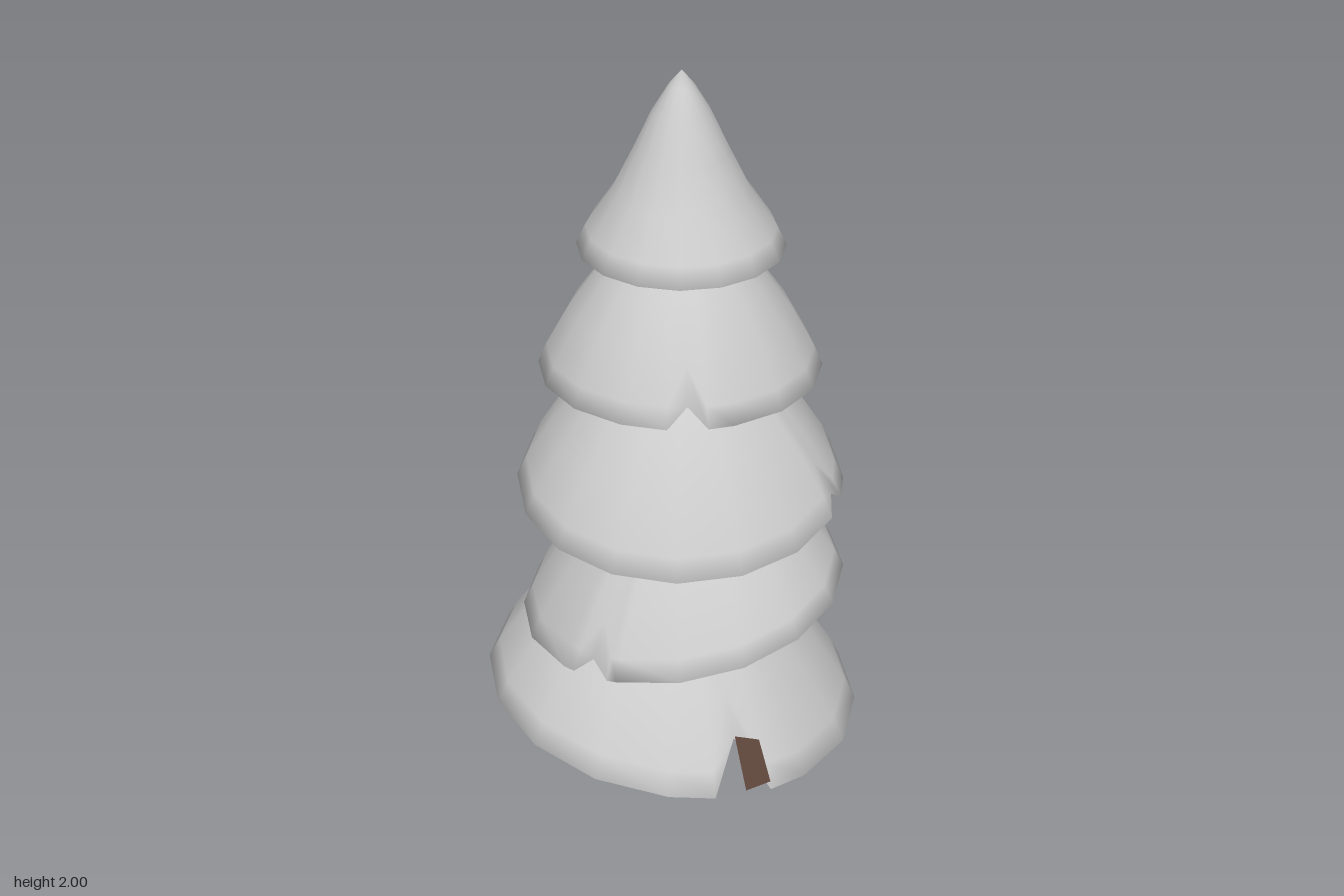
import * as THREE from 'three';
import { mergeVertices } from 'three/addons/utils/BufferGeometryUtils.js';

const SIDES = 16;
const snow = new THREE.MeshStandardMaterial({ color: 0xcccccc });
const bark = new THREE.MeshStandardMaterial({ color: 0x5f473b });
const deg = Math.PI / 180;

// Skirt profiles from apex to rim: [radius fraction, height fraction]
const dome = [[0, 1], [0.2, 0.96], [0.38, 0.86], [0.58, 0.66], [0.78, 0.4], [0.94, 0.13], [1, 0]];
const cone = [[0, 1], [0.12, 0.92], [0.28, 0.77], [0.46, 0.55], [0.66, 0.32], [0.91, 0.11], [1, 0]];

// notches: [azimuth, half width, depth]; lining: azimuth range of the brown inside
const tiers = [
  { x: 0, z: 0, y: 0.28, r: 0.475, h: 0.44, tilt: [-0.13, 0], profile: dome,
    notches: [[67, 9, 0.26], [-67, 6, 0.12]], lining: [50, 76] },
  { x: 0.025, z: 0, y: 0.58, r: 0.405, h: 0.39, tilt: [0.16, 0], profile: dome,
    notches: [[123, 7, 0.13], [212, 7, 0.13]], lining: [60, 115] },
  { x: 0.018, z: 0, y: 0.91, r: 0.402, h: 0.4, tilt: [0, -0.09], profile: dome,
    notches: [[17, 6, 0.12], [225, 7, 0.13]], lining: null },
  { x: 0.018, z: 0.005, y: 1.24, r: 0.34, h: 0.38, tilt: [0, 0.07], profile: dome,
    notches: [[86, 8, 0.17]], lining: [60, 115] },
  { x: 0.02, z: 0, y: 1.56, r: 0.245, h: 0.44, tilt: [0, 0.05], profile: cone,
    notches: [[-46, 7, 0.08]], lining: [60, 115] },
];

// Point on a profile at t = 0 (apex) to 1 (rim)
function sample(profile, t) {
  const s = t * (profile.length - 1);
  const i = Math.min(Math.floor(s), profile.length - 2);
  const f = s - i;
  return [0, 1].map(k => profile[i][k] + (profile[i + 1][k] - profile[i][k]) * f);
}

// Azimuths around a tier, with extra columns where the rim is notched
function columns(tier) {
  const gap = (a, b) => Math.abs(((a - b + 540) % 360) - 180);
  const list = [];
  for (let i = 0; i < SIDES; i++) {
    const a = i * 360 / SIDES;
    if (tier.notches.every(([c, w]) => gap(a, (c + 360) % 360) > w + 2)) list.push({ a, cut: 0 });
  }
  for (const [c, w, cut] of tier.notches) {
    for (const s of [-1, 0, 1]) list.push({ a: (c + s * w + 360) % 360, cut: s ? 0 : cut });
  }
  return list.sort((p, q) => p.a - q.a);
}

// Surface swept through rows of [t, inset, lift], limited to chosen columns
function surface(tier, cols, rows, inward, keep) {
  const pos = [], index = [], n = cols.length;
  for (const [t, inset, lift] of rows) {
    for (const { a, cut } of cols) {
      const [pr, ph] = sample(tier.profile, t * (1 - cut));
      const r = Math.max(0, pr * tier.r - inset);
      const x = Math.cos(a * deg) * r, z = Math.sin(a * deg) * r;
      const y = tier.y + ph * tier.h + lift + tier.tilt[0] * x + tier.tilt[1] * z;
      pos.push(tier.x + x, y, tier.z + z);
    }
  }
  for (let i = 0; i < rows.length - 1; i++) {
    for (let j = 0; j < n; j++) {
      if (!keep(cols[j].a)) continue;
      const k = (j + 1) % n;
      const a = i * n + j, b = a + n, c = i * n + k, d = c + n;
      if (inward) index.push(b, d, c), i && index.push(a, b, c);
      else index.push(b, c, d), i && index.push(a, c, b);
    }
  }
  let g = new THREE.BufferGeometry();
  g.setAttribute('position', new THREE.Float32BufferAttribute(pos, 3));
  g.setIndex(index);
  g = mergeVertices(g, 1e-4);
  g.computeVertexNormals();
  return g;
}

function add(parent, name, geometry, material) {
  const mesh = new THREE.Mesh(geometry, material);
  mesh.name = name;
  parent.add(mesh);
}

function makeTier(tier, number) {
  const group = new THREE.Group();
  group.name = 'branchTier' + number;
  const cols = columns(tier);
  const steps = tier.profile.length - 1;
  const outer = tier.profile.map((p, i) => [i / steps, 0, 0]);
  // Snowy outside ending in a lip that turns under the rim
  outer.push([1, 0.03, 0.005]);
  add(group, 'snowSkirt', surface(tier, cols, outer, false, () => true), snow);
  // Hollow underside, with a bark coloured patch on one side
  const inner = tier.profile.map((p, i) => [i / steps, 0.03 * i / steps, i < steps ? -0.02 : 0.005]);
  const lined = a => !!tier.lining && a >= tier.lining[0] && a < tier.lining[1];
  add(group, 'underside', surface(tier, cols, inner, true, a => !lined(a)), snow);
  if (tier.lining) add(group, 'undersideBark', surface(tier, cols, inner, true, lined), bark);
  return group;
}

export function createModel() {
  const model = new THREE.Group();
  model.name = 'snowyTree';

  // Tapering trunk running up through every tier
  const trunkProfile = [[0, 0], [0.075, 0.003], [0.1, 0.02], [0.112, 0.06], [0.1, 0.3],
    [0.058, 0.9], [0.028, 1.6], [0.006, 1.93], [0, 1.94]];
  const trunk = new THREE.LatheGeometry(trunkProfile.map(p => new THREE.Vector2(...p)), 12);
  trunk.translate(0.018, 0, 0);
  add(model, 'trunk', trunk, bark);

  // Small wedge of bark showing in the bottom notch
  const wedge = new THREE.BufferGeometry();
  wedge.setAttribute('position', new THREE.Float32BufferAttribute(
    [0.16, 0.4, 0.385, 0.19, 0.27, 0.435, 0.25, 0.27, 0.4,
      0.16, 0.4, 0.385, 0.25, 0.27, 0.4, 0.22, 0.37, 0.36], 3));
  wedge.computeVertexNormals();
  const wedgeMaterial = bark.clone();
  wedgeMaterial.side = THREE.DoubleSide;
  add(model, 'notchBark', wedge, wedgeMaterial);

  tiers.forEach((tier, i) => model.add(makeTier(tier, i + 1)));
  return model;
}
